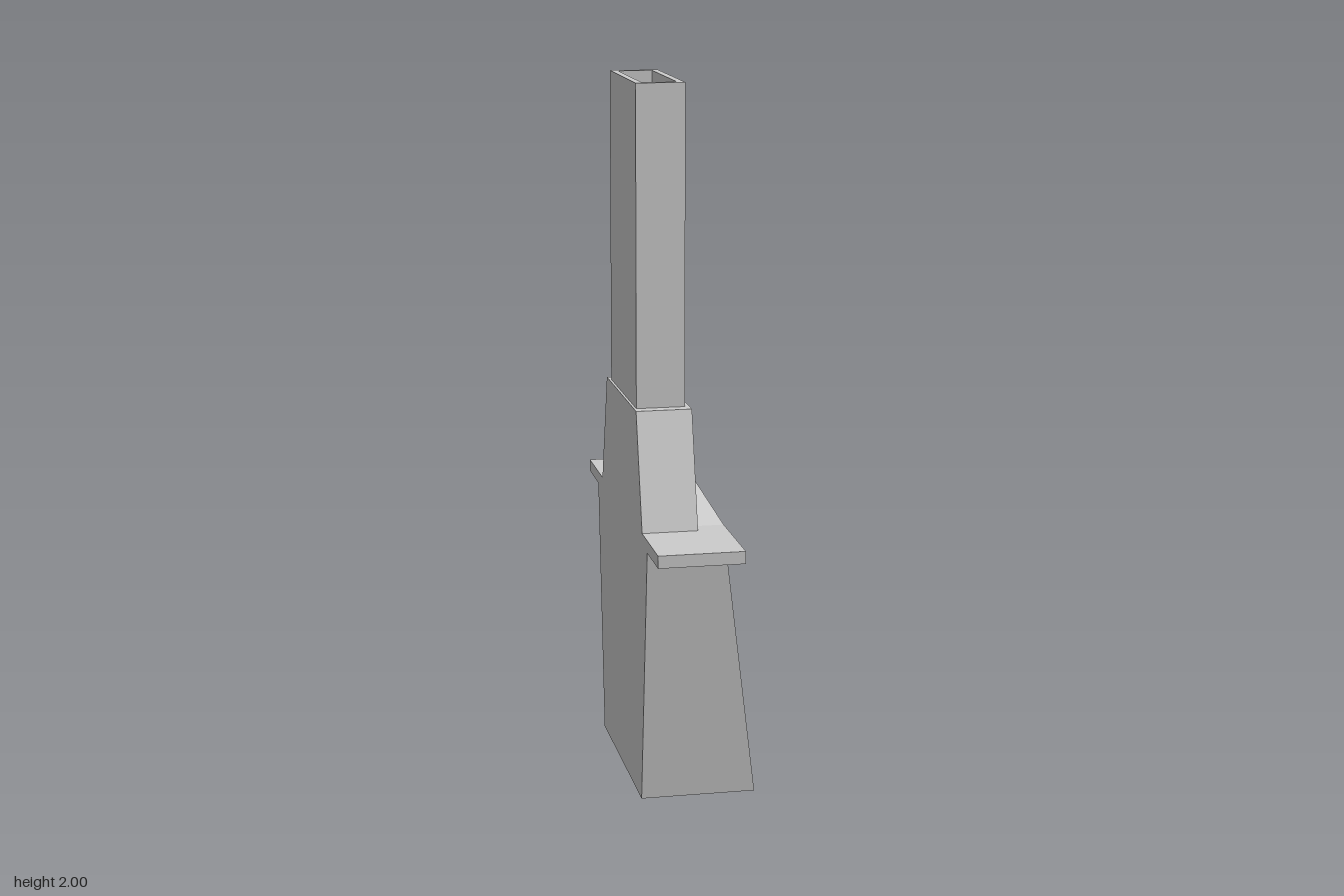
import * as THREE from 'three';

const material = new THREE.MeshStandardMaterial({ color: 0xcccccc, flatShading: true, side: THREE.DoubleSide });

// Slope of the leaning face of the firebox: depth at height y
const faceZ = (y) => 0.206 - 0.142 * y;

function shapeOf(points) {
  return new THREE.Shape(points.map(([x, y]) => new THREE.Vector2(x, y)));
}

function extrude(shape, z0, z1) {
  const g = new THREE.ExtrudeGeometry(shape, { depth: z1 - z0, bevelEnabled: false });
  return g.translate(0, 0, z0);
}

function boxGeo(x0, x1, y0, y1, z0, z1) {
  const g = new THREE.BoxGeometry(x1 - x0, y1 - y0, z1 - z0);
  return g.translate((x0 + x1) / 2, (y0 + y1) / 2, (z0 + z1) / 2);
}

// Applies a rule to every vertex
function reshape(g, rule) {
  const p = g.attributes.position;
  const v = new THREE.Vector3();
  for (let i = 0; i < p.count; i++) {
    v.fromBufferAttribute(p, i);
    rule(v);
    p.setXYZ(i, v.x, v.y, v.z);
  }
  g.computeVertexNormals();
  return g;
}

function solid(corners, faces) {
  const g = new THREE.BufferGeometry();
  g.setAttribute('position', new THREE.Float32BufferAttribute(faces.flat().flatMap((i) => corners[i]), 3));
  g.computeVertexNormals();
  return g;
}

export function createModel() {
  const model = new THREE.Group();
  model.name = 'fireplace';
  const body = new THREE.Group();
  body.name = 'fireplaceBody';
  body.rotation.y = Math.PI * 0.75; // stands diagonally, hearth towards +x, -z
  model.add(body);

  const add = (name, geometry, parent = body) => {
    const mesh = new THREE.Mesh(geometry, material);
    mesh.name = name;
    parent.add(mesh);
    return mesh;
  };

  // Firebox surround: flared, leaning forward, with an arched opening
  const outline = [[-0.303, 0], [0.303, 0], [0.392, 0.745], [-0.392, 0.745]];
  const surround = shapeOf(outline);
  surround.holes.push(shapeOf([
    [-0.222, 0.065], [-0.278, 0.63], [-0.18, 0.67], [0, 0.695],
    [0.18, 0.67], [0.278, 0.63], [0.222, 0.065],
  ]));
  add('fireboxSurround', reshape(extrude(surround, 0, 1), (v) => {
    v.z = v.z > 0.5 ? faceZ(v.y) : -0.086;
  }));
  add('fireboxBackWall', extrude(shapeOf(outline), -0.12, -0.086));

  // Mantel shelf
  add('mantel', boxGeo(-0.545, 0.545, 0.745, 0.78, -0.12, 0.12));

  // Wedge brackets under the mantel and fangs inside the arch, mirrored
  for (const s of [-1, 1]) {
    const corners = [
      [s * 0.39, 0.745, 0.12], [s * 0.24, 0.745, 0.12], [s * 0.315, 0.655, faceZ(0.655) + 0.004],
      [s * 0.39, 0.745, 0.09], [s * 0.24, 0.745, 0.09],
    ];
    const faces = [[0, 1, 2], [0, 2, 3], [1, 4, 2], [0, 3, 4], [0, 4, 1]];
    add('mantelBracket', solid(corners, s > 0 ? faces.map(([a, b, c]) => [a, c, b]).map(([a, b, c]) => [a, c, b]) : faces));

    const fang = new THREE.ConeGeometry(0.028, 0.145, 6, 5);
    fang.rotateX(Math.PI);
    add('fang', reshape(fang, (v) => {
      const t = (0.0725 - v.y) / 0.145;
      v.x = s * (0.17 + 0.025 * Math.sin(Math.PI * t) - 0.03 * t * t) + v.x;
      v.y += 0.6125;
      v.z += 0.08;
    }));
  }

  // Tapered hood above the mantel
  add('hood', extrude(shapeOf([[-0.318, 0.78], [0.318, 0.78], [0.232, 1.105], [-0.232, 1.105]]), -0.12, 0.037));

  // Low gable on the mantel, leaning back to the hood, with a rib above it
  add('hoodGable', solid(
    [[-0.27, 0.78, 0.12], [0.27, 0.78, 0.12], [0, 0.92, 0.045], [-0.27, 0.78, 0.036], [0.27, 0.78, 0.036], [0, 0.92, 0.036]],
    [[0, 1, 2], [1, 4, 2], [4, 5, 2], [0, 2, 3], [3, 2, 5]],
  ));
  add('hoodRib', boxGeo(-0.011, 0.011, 0.9, 1.11, 0.03, 0.05));

  // Hollow chimney shaft
  const flue = shapeOf([[-0.198, -0.024], [0.198, -0.024], [0.198, 0.113], [-0.198, 0.113]]);
  flue.holes.push(shapeOf([[-0.175, -0.004], [-0.175, 0.093], [0.175, 0.093], [0.175, -0.004]]));
  add('chimneyShaft', extrude(flue, 1.1, 2).rotateX(-Math.PI / 2));

  // Fire grate: base ledge, bars and arched top rail
  const grate = new THREE.Group();
  grate.name = 'grate';
  body.add(grate);
  add('grateLedge', boxGeo(-0.2, 0.2, 0.092, 0.106, 0.13, 0.16), grate);
  const archY = (x) => 0.34 - 3.6 * x * x;
  for (const x of [-0.1, -0.034, 0.034, 0.1]) {
    add('grateBar', boxGeo(x - 0.006, x + 0.006, 0.065, archY(x), 0.138, 0.152), grate);
  }
  const rail = [];
  for (let i = 0; i <= 6; i++) rail.push([-0.108 + 0.036 * i, archY(-0.108 + 0.036 * i) + 0.006]);
  const underside = rail.map(([x, y]) => [x, y - 0.014]).reverse();
  add('grateRail', extrude(shapeOf([...rail, ...underside]), 0.136, 0.154), grate);

  return model;
}
